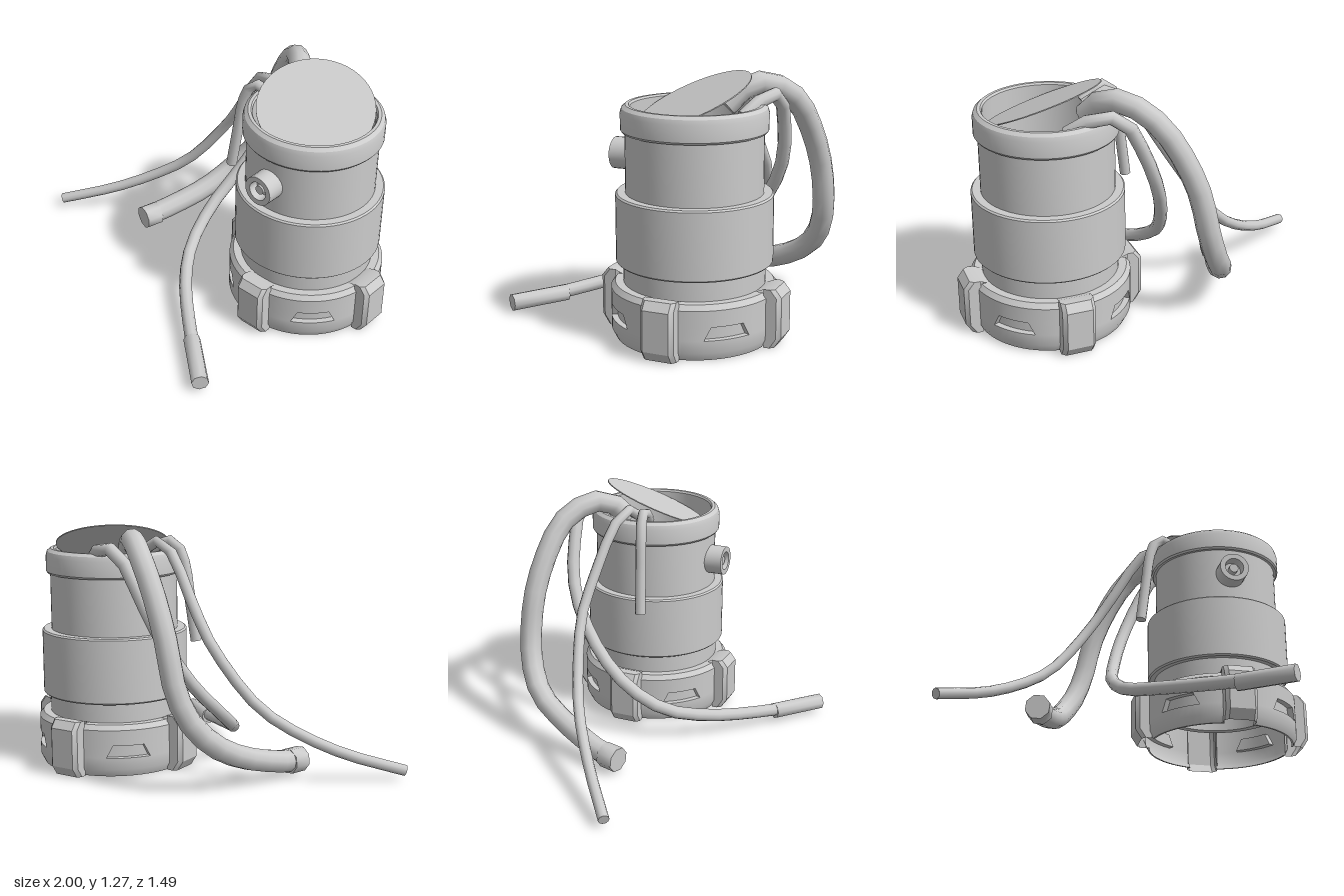
import * as THREE from 'three';
import { toCreasedNormals } from 'three/addons/utils/BufferGeometryUtils.js';

const CX = 0.53, CZ = -0.248; // canister axis
const mat = new THREE.MeshStandardMaterial({ color: 0xcccccc });
const matDouble = new THREE.MeshStandardMaterial({ color: 0xcccccc, side: THREE.DoubleSide });

function add(parent, name, geometry, material = mat) {
  const mesh = new THREE.Mesh(geometry, material);
  mesh.name = name;
  parent.add(mesh);
  return mesh;
}

// Turned part from [radius, height] pairs
function turned(profile, segments = 64) {
  const pts = profile.map(([r, y]) => new THREE.Vector2(r, y));
  return toCreasedNormals(new THREE.LatheGeometry(pts, segments), 0.5);
}

// Grid whose vertices are placed by rule(row, column)
function grid(rows, cols, rule) {
  const geo = new THREE.PlaneGeometry(1, 1, cols - 1, rows - 1);
  for (let j = 0; j < rows; j++) {
    for (let i = 0; i < cols; i++) geo.attributes.position.setXYZ(j * cols + i, ...rule(j, i));
  }
  return toCreasedNormals(geo, 0.5);
}

// Quarter of the base shell between two clamps, with a sunken trapezoid
function ringQuarterGeometry() {
  // radius, height, half angle of the trapezoid, row lies in the trapezoid
  const rows = [
    [0.34, 0.27, 0.2, 0], [0.385, 0.27, 0.2, 0], [0.405, 0.245, 0.2, 0],
    [0.405, 0.165, 0.2, 0], [0.405, 0.165, 0.2, 1],
    [0.405, 0.1, 0.284, 1], [0.405, 0.1, 0.284, 0],
    [0.405, 0.04, 0.284, 0], [0.385, 0, 0.284, 0], [0.375, 0, 0.284, 0],
  ];
  const n = 6, end = Math.PI / 4 - 0.195;
  return grid(rows.length, 3 * (n + 1), (j, i) => {
    const [r, y, w, inRow] = rows[j];
    const zone = Math.floor(i / (n + 1)), t = (i % (n + 1)) / n;
    const edges = [-end, -w, w, end];
    const a = Math.PI / 4 + THREE.MathUtils.lerp(edges[zone], edges[zone + 1], t);
    const rad = r - (inRow && zone === 1 ? 0.03 : 0);
    return [rad * Math.sin(a), y, rad * Math.cos(a)];
  });
}

// Clamp shell, open at the back and below, with chamfered edges
function clampGeometry() {
  const profile = [[0.34, 0.27], [0.385, 0.288], [0.437, 0.29], [0.468, 0.25], [0.468, 0.05], [0.435, 0]];
  const sides = [[-0.083, 1], [-0.083, 0.02], [-0.065, 0], [0.065, 0], [0.083, 0.02], [0.083, 1]];
  return grid(profile.length, sides.length, (j, i) => {
    const [r, y] = profile[j], [x, inset] = sides[i];
    return [x, y, Math.max(r - inset, Math.min(r, 0.385))];
  });
}

// Cylinder between two points
function rod(parent, name, from, to, radius, sides) {
  const a = new THREE.Vector3(...from), b = new THREE.Vector3(...to);
  const geo = new THREE.CylinderGeometry(radius, radius, a.distanceTo(b), sides);
  const mesh = add(parent, name, toCreasedNormals(geo, 0.9));
  mesh.position.copy(a).add(b).multiplyScalar(0.5);
  mesh.quaternion.setFromUnitVectors(new THREE.Vector3(0, 1, 0), b.sub(a).normalize());
}

// Flexible hose with closed ends and an optional end collar
function hose(parent, name, points, radius, collar) {
  const group = new THREE.Group();
  group.name = name;
  parent.add(group);
  const curve = new THREE.CatmullRomCurve3(points.map(p => new THREE.Vector3(...p)), false, 'centripetal');
  const segments = Math.round(points.length * 1.6);
  add(group, name + 'Tube', new THREE.TubeGeometry(curve, segments, radius, 10, false), matDouble);
  for (const t of [0, 1]) {
    const cap = add(group, name + 'End', new THREE.CircleGeometry(radius, 10), matDouble);
    const p = curve.getPoint(t);
    cap.position.copy(p);
    cap.lookAt(p.clone().addScaledVector(curve.getTangent(t), t ? 1 : -1));
  }
  if (collar) rod(group, name + 'Collar', collar.from, collar.to, collar.radius, 8);
}

export function createModel() {
  const model = new THREE.Group();
  model.name = 'canisterWithHoses';
  const canister = new THREE.Group();
  canister.name = 'canister';
  canister.position.set(CX, 0, CZ);
  model.add(canister);

  // Hollow body with wide middle band and top rim
  add(canister, 'body', turned([
    [0.305, 0.2], [0.345, 0.2], [0.345, 0.37],
    [0.372, 0.37], [0.38, 0.378], [0.38, 0.702], [0.372, 0.71],
    [0.332, 0.71], [0.332, 1.005], [0.346, 1.005], [0.353, 1.015],
    [0.353, 1.095], [0.346, 1.118], [0.328, 1.133],
    [0.312, 1.133], [0.305, 1.123], [0.305, 0.2],
  ]));

  // Base shell in quarters, with a clamp at each joint
  const quarter = ringQuarterGeometry(), clamp = clampGeometry();
  for (let i = 0; i < 4; i++) {
    add(canister, 'baseRing', quarter, matDouble).rotation.y = i * Math.PI / 2;
    add(canister, 'clamp', clamp, matDouble).rotation.y = i * Math.PI / 2;
  }

  // Front nozzle with inner pin
  const nozzle = add(canister, 'nozzle', turned([
    [0.078, 0.31], [0.078, 0.418], [0.05, 0.418], [0.045, 0.37],
    [0.024, 0.37], [0.024, 0.405], [0, 0.405],
  ], 24));
  nozzle.position.y = 0.863;
  nozzle.rotation.x = Math.PI / 2;

  // Thin lid tipped open towards the front left
  const lid = add(canister, 'lid', toCreasedNormals(new THREE.CylinderGeometry(0.294, 0.294, 0.005, 48), 0.5));
  lid.position.set(0.008, 1.152, 0.002);
  const tilt = 0.42, heading = 0.66;
  lid.quaternion.setFromUnitVectors(new THREE.Vector3(0, 1, 0), new THREE.Vector3(
    Math.sin(tilt) * Math.sin(heading), Math.cos(tilt), Math.sin(tilt) * Math.cos(heading)));

  // Hoses leaving under the raised lid
  hose(model, 'thickHose', [
    [0.36, 1.1, -0.34], [0.3, 1.19, -0.42], [0.22, 1.2, -0.5], [0.1, 1.12, -0.6], [0, 0.97, -0.65],
    [-0.09, 0.76, -0.685], [-0.145, 0.53, -0.69], [-0.2, 0.38, -0.655],
    [-0.27, 0.26, -0.57], [-0.335, 0.16, -0.4], [-0.44, 0.085, -0.13], [-0.46, 0.08, -0.06],
  ], 0.058, { from: [-0.445, 0.08, -0.11], to: [-0.47, 0.078, -0.02], radius: 0.066 });

  hose(model, 'longThinHose', [
    [0.34, 1.12, -0.26], [0.27, 1.17, -0.27], [0.19, 1.18, -0.285], [0.1, 1.1, -0.315],
    [-0.03, 0.89, -0.355], [-0.15, 0.7, -0.375], [-0.36, 0.41, -0.3],
    [-0.5, 0.29, -0.22], [-0.72, 0.155, -0.06], [-0.98, 0.05, 0.145],
  ], 0.028);

  hose(model, 'frontHose', [
    [0.5, 1.08, -0.48], [0.43, 1.14, -0.53], [0.34, 1.17, -0.565], [0.24, 1.12, -0.58], [0.16, 0.98, -0.57],
    [0.09, 0.82, -0.545], [0.03, 0.66, -0.48], [-0.03, 0.46, -0.34], [-0.065, 0.3, -0.16],
    [-0.025, 0.18, 0.04], [0.11, 0.12, 0.24], [0.43, 0.068, 0.53], [0.6, 0.058, 0.66],
  ], 0.034, { from: [0.42, 0.062, 0.52], to: [0.655, 0.054, 0.71], radius: 0.044 });

  hose(model, 'shortHose', [
    [0.33, 1.11, -0.2], [0.26, 1.17, -0.19], [0.19, 1.17, -0.18], [0.145, 1.08, -0.165],
    [0.115, 0.88, -0.155], [0.085, 0.66, -0.145],
  ], 0.028);

  return model;
}
